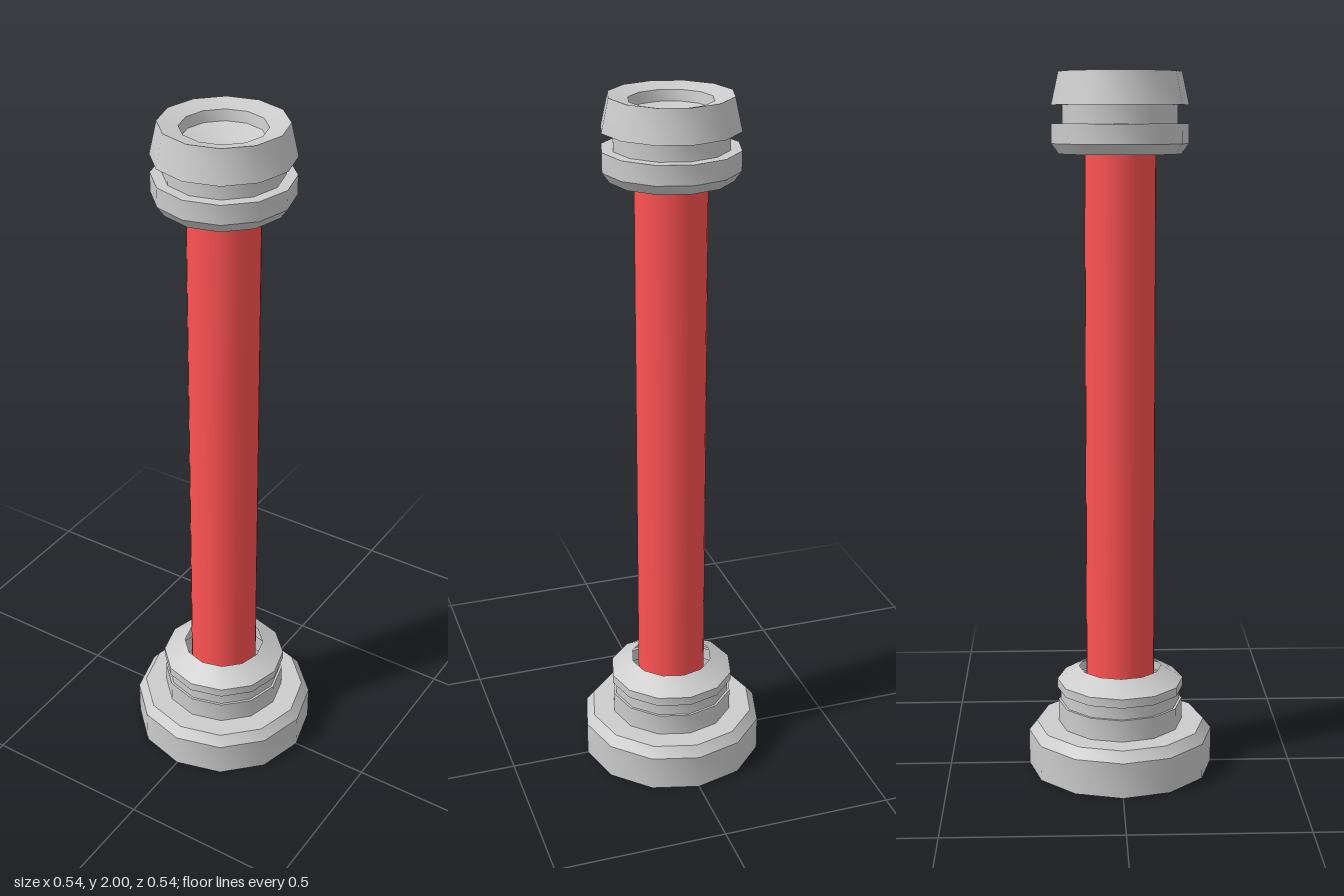
import * as THREE from 'three';
import { toCreasedNormals } from 'three/addons/utils/BufferGeometryUtils.js';

const SIDES = 12;

// Turned thin shell: smooth around the axis, sharp across profile corners
function turned(name, profile, material) {
  const points = profile.map(([r, y]) => new THREE.Vector2(r, y));
  const geometry = toCreasedNormals(new THREE.LatheGeometry(points, SIDES), 0.58);
  const mesh = new THREE.Mesh(geometry, material);
  mesh.name = name;
  return mesh;
}

export function createModel() {
  const group = new THREE.Group();
  group.name = 'rodWithCollars';
  const grey = new THREE.MeshStandardMaterial({ color: 0xcccccc, side: THREE.DoubleSide });
  const red = new THREE.MeshStandardMaterial({ color: 0xff5252 });

  // Wide hollow foot with a stepped, grooved neck
  group.add(turned('base', [
    [0.268, 0], [0.268, 0.103], [0.245, 0.132], [0.181, 0.132],
    [0.181, 0.196], [0.174, 0.196], [0.174, 0.234], [0.184, 0.234],
    [0.184, 0.26], [0.12, 0.298],
  ], grey));

  // Upper collar, open below, with a groove and a recessed mouth
  group.add(turned('topCollar', [
    [0.17, 1.778], [0.19, 1.806], [0.19, 1.86], [0.159, 1.86],
    [0.159, 1.91], [0.19, 1.91], [0.17, 2], [0.115, 1.987], [0.11, 1.957],
  ], grey));

  // Shallow dish closing the mouth
  group.add(turned('mouthDish', [
    [0.11, 1.957], [0.08, 1.949], [0.04, 1.943], [0, 1.941],
  ], grey));

  // Long round rod running into both collars
  const bottom = 0.17, top = 1.92;
  const rod = new THREE.Mesh(new THREE.CylinderGeometry(0.099, 0.099, top - bottom, 32), red);
  rod.position.y = (top + bottom) / 2;
  rod.name = 'rod';
  group.add(rod);

  return group;
}
